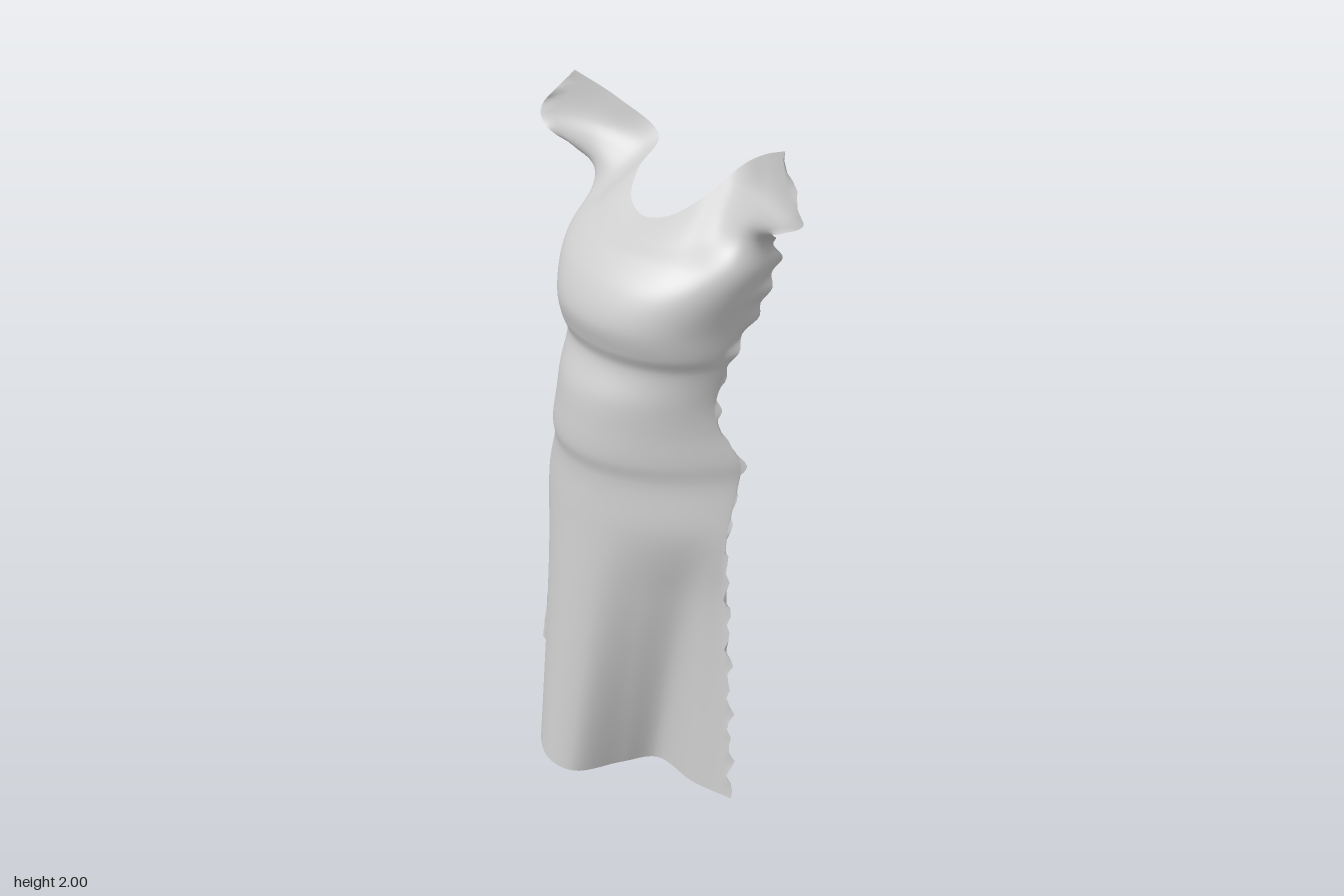
import * as THREE from 'three';

const toCurve = (points) => new THREE.CatmullRomCurve3(points.map((p) => new THREE.Vector3(...p)));

// Every section maps u (-1 at the -x side edge, +1 at the +x side edge) to a point

// Rounded torso section: half width, front and side depth, sideways shift; a low taper gives a fuller front
const torso = (y, width, front, side, taper, shift) => (u) => {
  const angle = (u * Math.PI) / 2;
  const depth = Math.max(0, Math.cos(angle)) ** taper;
  return new THREE.Vector3(shift + width * Math.sin(angle), y, side + (front - side) * depth);
};

// Straight transition between two sections
const blend = (from, to, s) => (u) => from(u).lerp(to(u), s);

// Hem with a deep fold on either side of the centre panel
const hemCurve = toCurve([
  [-.49, .07, -.04], [-.36, .05, -.02], [-.22, .03, -.01], [-.2, .02, .1], [-.13, .025, .215], [-.02, .018, .262],
  [.07, .015, .23], [.115, .003, .08], [.16, .002, -.02], [.34, .03, -.02], [.48, .05, -.05],
]);
const hem = (u) => hemCurve.getPoint((u + 1) / 2);

// Neckline and top edge of the cap sleeves, mirrored from one half
const neckHalf = [[.085, 1.748, -.1], [.138, 1.8, -.165], [.165, 1.865, -.255], [.3, 1.945, -.215], [.43, 2, -.165]];
const neckCurve = toCurve([
  ...neckHalf.map(([x, y, z]) => [-x, y, z]).reverse(),
  [0, 1.727, -.075],
  ...neckHalf,
]);
const neckline = (u) => neckCurve.getPoint((u + 1) / 2);

const hip = torso(.9, .385, .167, -.085, 1.9, -.012);
const chest = torso(1.66, .338, .035, -.25, .65, .008);

// Shoulder section pulled outwards at its ends to follow the armhole and sleeve
const shoulder = (s, x, y, z) => (u) => {
  const section = blend(chest, neckline, s);
  const side = u < 0 ? -1 : 1;
  const pull = new THREE.Vector3(side * x, y, z).sub(section(side));
  return section(u).addScaledVector(pull, Math.abs(u) ** 4);
};

const sections = [
  // Skirt
  ...[0, .25, .5, .75].map((s) => blend(hem, hip, s)),
  hip,
  // Waistband
  torso(1.05, .36, .155, -.14, 1.6, -.008),
  torso(1.11, .352, .165, -.15, 1.5, -.006),
  torso(1.2, .308, .158, -.11, 1.4, 0),
  torso(1.28, .288, .145, -.1, 1.25, .005),
  // Bodice
  torso(1.38, .29, .108, -.13, 1, .012),
  torso(1.43, .294, .123, -.14, .8, .014),
  torso(1.5, .3, .136, -.2, .65, .015),
  torso(1.59, .32, .1, -.22, .6, .012),
  chest,
  // Shoulders and cap sleeves
  shoulder(.33, .36, 1.735, -.21),
  shoulder(.55, .42, 1.785, -.155),
  shoulder(.72, .49, 1.82, -.125),
  shoulder(.87, .54, 1.865, -.12),
  neckline,
];

// Lofts a smooth open sheet through the sections
function loft(cols, steps) {
  const positions = [];
  const index = [];
  for (let i = 0; i <= cols; i++) {
    const u = (2 * i) / cols - 1;
    const column = new THREE.CatmullRomCurve3(sections.map((section) => section(u)));
    for (let j = 0; j <= steps; j++) {
      const p = column.getPoint(j / steps);
      // Ragged cloth along the open side edges
      if (Math.abs(u) === 1 && j > 0 && j < steps) {
        const rag = .006 * Math.sin(p.y * 75 + u) + .004 * Math.sin(p.y * 41);
        p.x += u * rag;
        p.z -= rag;
      }
      positions.push(p.x, Math.max(0, p.y), p.z);
      if (i < cols && j < steps) {
        const a = i * (steps + 1) + j;
        const b = a + steps + 1;
        index.push(a, b, b + 1, a, b + 1, a + 1);
      }
    }
  }
  const geometry = new THREE.BufferGeometry();
  geometry.setAttribute('position', new THREE.Float32BufferAttribute(positions, 3));
  geometry.setIndex(index);
  geometry.computeVertexNormals();
  return geometry;
}

export function createModel() {
  const group = new THREE.Group();
  group.name = 'dressFront';
  const cloth = new THREE.MeshStandardMaterial({ color: 0xcccccc, side: THREE.DoubleSide });
  const panel = new THREE.Mesh(loft(80, 144), cloth);
  panel.name = 'frontPanel';
  group.add(panel);
  return group;
}
